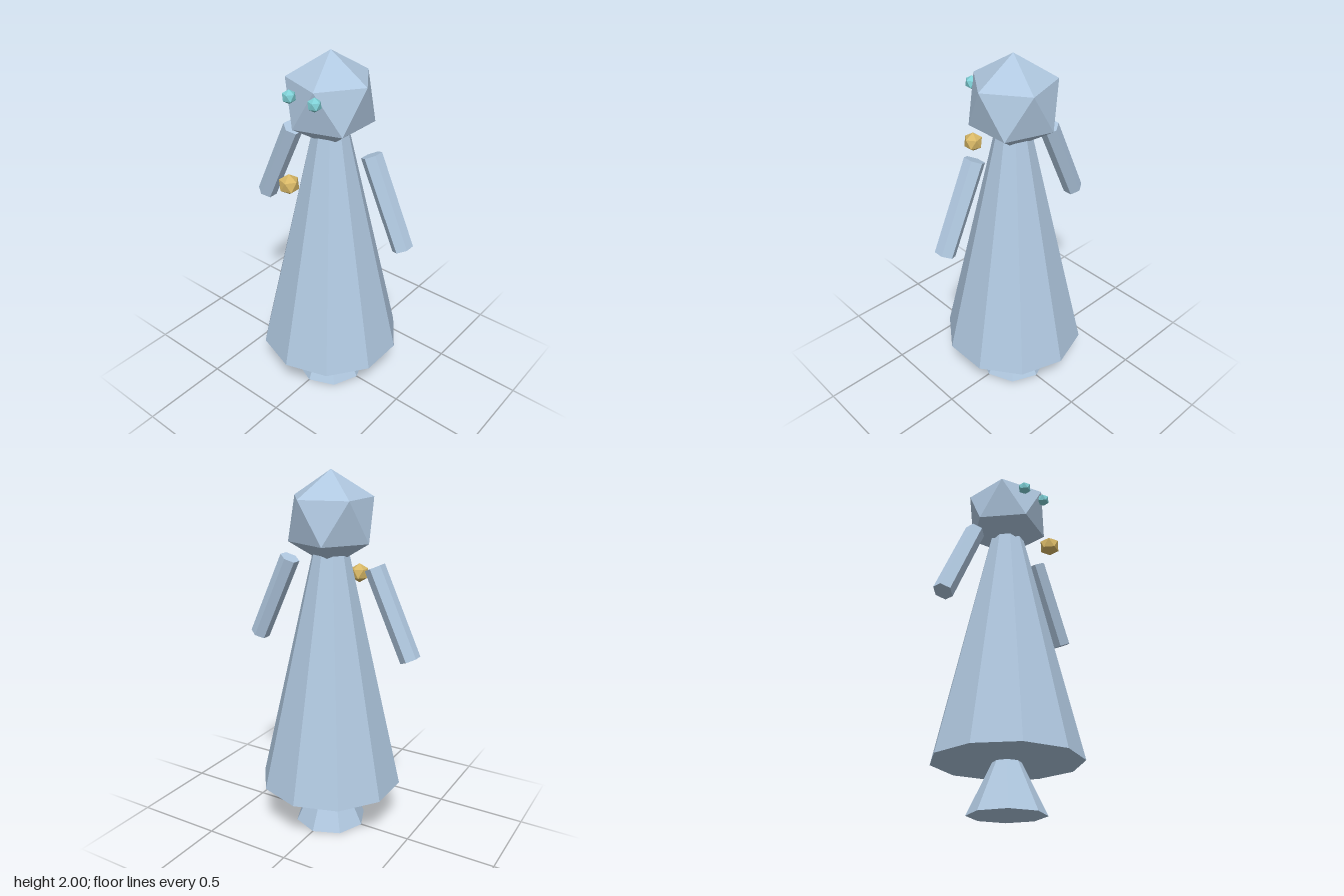
import * as THREE from 'three';

export function createModel() {
  const model = new THREE.Group();
  model.name = 'figure';

  const flat = (name, color) => {
    const m = new THREE.MeshStandardMaterial({ color, flatShading: true });
    m.name = name;
    return m;
  };
  const paleBlue = flat('paleBlue', 0xb0c8e0);
  const teal = flat('teal', 0x7fd0d6);
  const gold = flat('gold', 0xd8b866);

  const add = (name, geometry, material, x, y, z) => {
    const mesh = new THREE.Mesh(geometry, material);
    mesh.name = name;
    mesh.position.set(x, y, z);
    model.add(mesh);
    return mesh;
  };

  // Icosahedron standing on a corner
  const gem = (r) => new THREE.IcosahedronGeometry(r, 0).rotateZ(-Math.atan(2 / (1 + Math.sqrt(5))));

  // Flared foot, its tip hidden in the gown
  add('foot', new THREE.ConeGeometry(0.205, 0.42, 8), paleBlue, 0, 0.21, 0);

  // Ten-sided gown tapering up into the head
  const hem = 0.265, neck = 1.7;
  add('gown', new THREE.CylinderGeometry(0.07, 0.4, neck - hem, 10), paleBlue, 0, (hem + neck) / 2, 0);

  add('head', gem(0.25), paleBlue, 0, 1.75, 0);
  add('button', gem(0.055), gold, 0, 1.408, 0.32);

  // Mirrored eyes and slanted six-sided arms
  for (const [side, s] of [['left', 1], ['right', -1]]) {
    add(side + 'Eye', gem(0.037), teal, s * 0.08, 1.808, 0.215);
    const arm = add(side + 'Arm', new THREE.CylinderGeometry(0.055, 0.055, 0.51, 6), paleBlue, s * 0.367, 1.293, 0);
    arm.rotation.z = s * 0.437;
  }

  return model;
}
